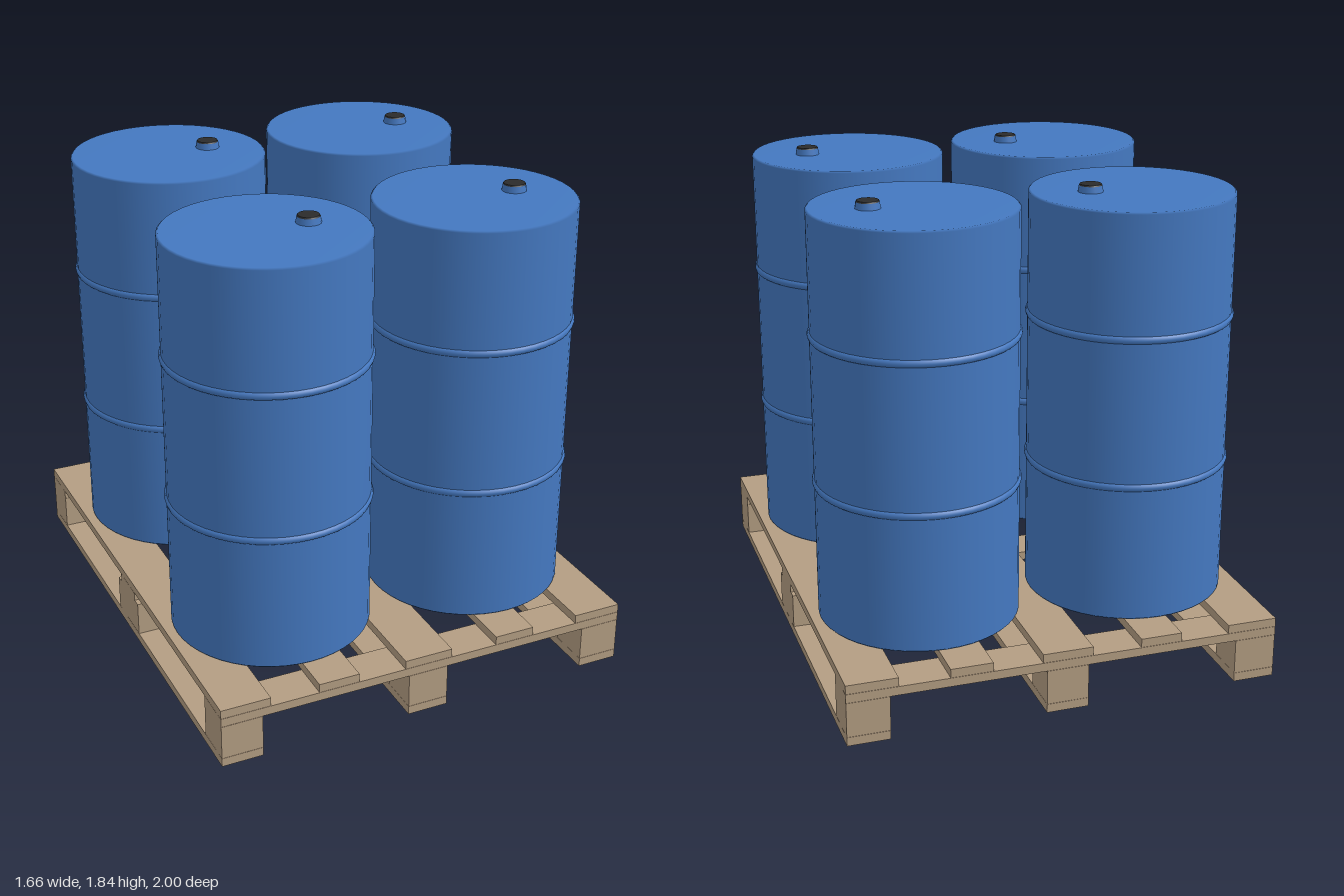
import * as THREE from 'three';

export function createModel() {
  const model = new THREE.Group();
  const wood = new THREE.MeshStandardMaterial({ color: 0xb39d82 });
  wood.name = 'pallet wood';
  const blue = new THREE.MeshStandardMaterial({ color: 0x4478c0 });
  blue.name = 'drum blue';
  const black = new THREE.MeshStandardMaterial({ color: 0x2b2b2b });
  black.name = 'bung black';

  function add(parent, name, geometry, material, x, y, z) {
    const mesh = new THREE.Mesh(geometry, material);
    mesh.name = name;
    mesh.position.set(x, y, z);
    parent.add(mesh);
    return mesh;
  }

  // Pallet: y0 and y1 are the bottom and top of each piece
  const pallet = new THREE.Group();
  pallet.name = 'pallet';
  model.add(pallet);
  const plank = (name, x, z, w, d, y0, y1) =>
    add(pallet, name, new THREE.BoxGeometry(w, y1 - y0, d), wood, x, (y0 + y1) / 2, z);

  // Deck boards, alternating wide and narrow
  [[-0.735, 0.194], [-0.367, 0.161], [0, 0.194], [0.367, 0.161], [0.735, 0.194]]
    .forEach(([x, w]) => plank('deckBoard', x, 0, w, 2, 0.206, 0.24));

  // Cross boards under the deck
  for (const z of [-0.92, 0, 0.92]) plank('crossBoard', 0, z, 1.664, 0.16, 0.171, 0.205);

  // Runners with three blocks each
  for (const x of [-0.751, 0, 0.751]) {
    plank('runner', x, 0, 0.161, 2, 0, 0.034);
    for (const z of [-0.92, 0, 0.92]) {
      plank('block', x, z, 0.161, z === 0 ? 0.23 : 0.16, 0.035, 0.17);
    }
  }

  // Drum shell turned from a profile with small bevelled rims
  const bottom = 0.243, top = 1.807, r = 0.382, b = 0.007;
  const shell = new THREE.LatheGeometry([
    [0, bottom], [r - b, bottom], [r, bottom + b],
    [r, top - b], [r - b, top], [0, top],
  ].map(([x, y]) => new THREE.Vector2(x, y)), 48);
  const hoop = new THREE.TorusGeometry(0.372, 0.018, 10, 48).rotateX(Math.PI / 2);
  const collar = new THREE.CylinderGeometry(0.043, 0.047, 0.024, 16);
  const plug = new THREE.CylinderGeometry(0.04, 0.043, 0.005, 16);

  for (const x of [-0.417, 0.417]) {
    for (const z of [-0.483, 0.483]) {
      const drum = new THREE.Group();
      drum.name = 'drum';
      drum.position.set(x, 0, z);
      model.add(drum);
      add(drum, 'shell', shell, blue, 0, 0, 0);
      for (const y of [0.777, 1.343]) add(drum, 'hoop', hoop, blue, 0, y, 0);
      // Filler bung on the lid
      add(drum, 'bungCollar', collar, blue, 0.165, top + 0.012, 0);
      add(drum, 'bungPlug', plug, black, 0.165, top + 0.0265, 0);
    }
  }
  return model;
}
